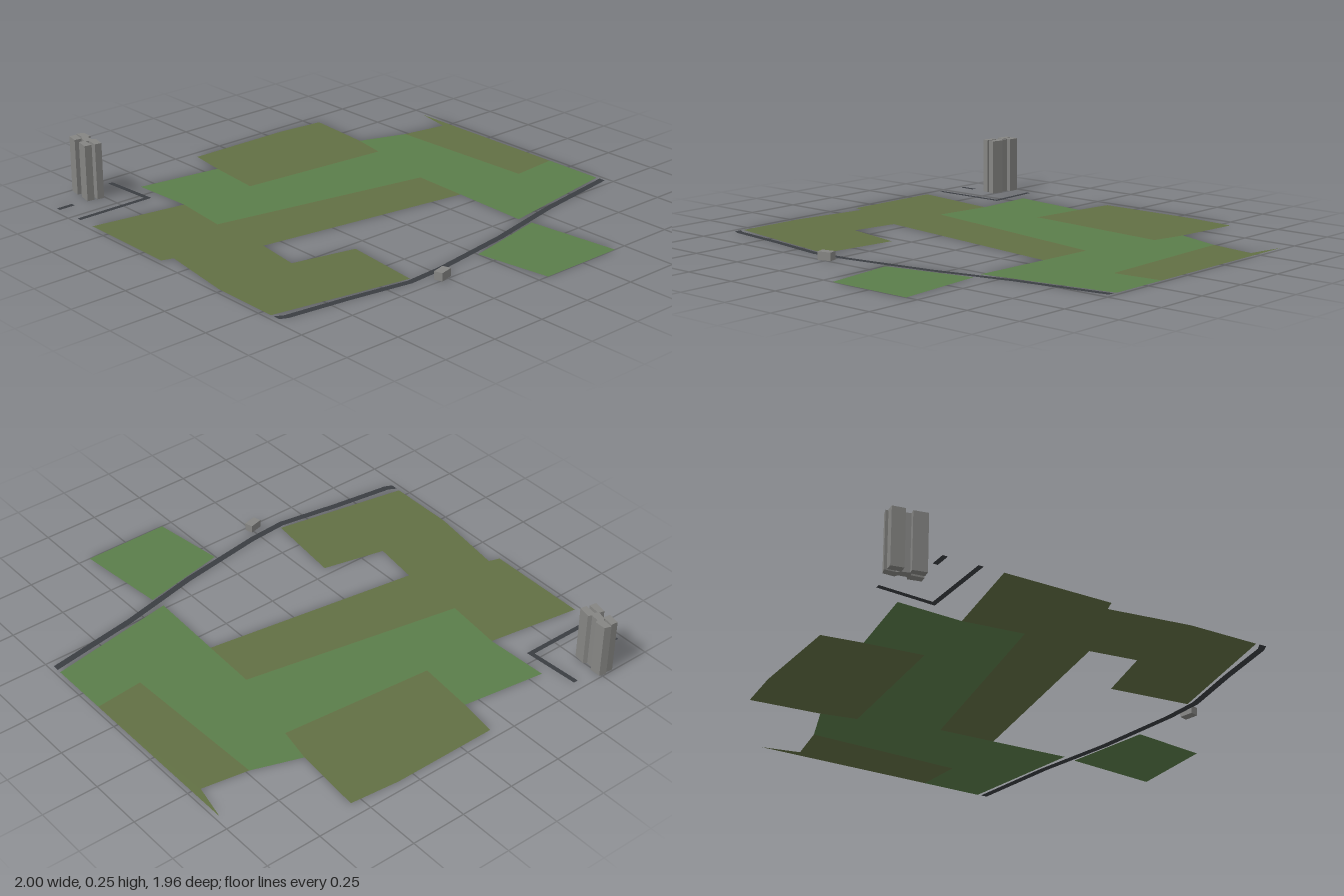
import * as THREE from 'three';

const flat = (color) => new THREE.MeshStandardMaterial({ color, side: THREE.DoubleSide });

// Ground plan outline, given as [x, z] corners
const plan = (points) => new THREE.Shape(points.map(([x, z]) => new THREE.Vector2(x, -z)));

export function createModel() {
  const model = new THREE.Group();
  const green = flat(0x5a7d4a), olive = flat(0x627044), asphalt = flat(0x3a3d42), concrete = flat(0x858583);

  function add(name, geometry, material, y = 0) {
    const mesh = new THREE.Mesh(geometry, material);
    mesh.name = name;
    mesh.position.y = y;
    model.add(mesh);
  }
  function field(name, material, points) {
    add(name, new THREE.ShapeGeometry(plan(points)).rotateX(-Math.PI / 2), material);
  }
  function building(name, height, points) {
    const geometry = new THREE.ExtrudeGeometry(plan(points), { depth: height, bevelEnabled: false });
    add(name, geometry.rotateX(-Math.PI / 2), concrete);
  }

  // Flat ribbon following a centre line, with mitred corners and ends cut along x or z
  function road(name, width, points, alongZ = true) {
    const left = [], right = [];
    points.forEach(([x, z], i) => {
      const a = points[Math.max(i - 1, 0)], b = points[Math.min(i + 1, points.length - 1)];
      const length = Math.hypot(b[0] - a[0], b[1] - a[1]);
      const run = Math.abs(alongZ ? b[1] - a[1] : b[0] - a[0]);
      const half = (width / 2) * length / run;
      const [dx, dz] = alongZ ? [half, 0] : [0, half];
      left.push([x - dx, z - dz]);
      right.unshift([x + dx, z + dz]);
    });
    const geometry = new THREE.ShapeGeometry(plan([...left, ...right])).rotateX(-Math.PI / 2);
    add(name, geometry, asphalt, 0.001);
  }

  // Fields, sharing borders with their neighbours
  field('backOliveField', olive, [
    [-0.68, -0.98], [0.14, -0.98], [0.16, -0.76], [-0.545, -0.735], [-0.51, -0.945]]);
  field('backGreenField', green, [
    [0.14, -0.98], [0.42, -0.98], [0.52, -0.385], [-0.1, -0.41], [-0.46, -0.49],
    [-0.62, -0.52], [-0.545, -0.735], [0.16, -0.76]]);
  field('sideOliveField', olive, [
    [-0.935, -0.545], [-0.62, -0.52], [-0.46, -0.49], [-0.52, 0.21], [-0.78, 0.185],
    [-0.957, 0.16], [-0.957, -0.32]]);
  field('middleGreenField', green, [
    [-0.46, -0.49], [-0.1, -0.41], [-0.28, 0.58], [-0.545, 0.55], [-0.833, 0.565],
    [-0.78, 0.185], [-0.52, 0.21]]);
  field('frontOliveField', olive, [
    [-0.1, -0.41], [0.16, -0.4], [0.02, 0.58], [0.23, 0.608], [0.293, 0.325], [0.653, 0.363],
    [0.545, 0.975], [0.23, 0.975], [-0.122, 0.925], [-0.138, 0.975], [-0.61, 0.975],
    [-0.545, 0.55], [-0.28, 0.58]]);
  field('separateGreenField', green, [[0.58, -0.4], [1, -0.443], [1, -0.05], [0.663, -0.003]]);

  // Roads
  road('mainRoad', 0.03, [
    [0.453, -0.98], [0.52, -0.56], [0.603, -0.19], [0.665, 0.21], [0.677, 0.385],
    [0.63, 0.67], [0.595, 0.94], [0.578, 0.975]]);
  road('sideRoad', 0.022, [[-0.708, 0.61], [-0.708, 0.975]]);
  road('crossRoad', 0.022, [[-0.957, 0.638], [-0.697, 0.62]], false);
  road('shortRoad', 0.022, [[-0.858, 0.9], [-0.858, 0.975]]);

  // Tower blocks and the small house
  building('steppedTower', 0.25, [
    [-0.99, 0.74], [-0.94, 0.74], [-0.935, 0.755], [-0.9, 0.76], [-0.89, 0.745], [-0.835, 0.757],
    [-0.84, 0.787], [-0.893, 0.78], [-0.9, 0.798], [-0.945, 0.785], [-0.95, 0.775], [-1, 0.77]]);
  building('leftTower', 0.25, [[-0.992, 0.778], [-0.937, 0.788], [-0.941, 0.82], [-0.995, 0.81]]);
  building('rightTower', 0.25, [[-0.904, 0.792], [-0.845, 0.8], [-0.85, 0.832], [-0.91, 0.82]]);
  building('smallHouse', 0.035, [[0.705, 0.238], [0.742, 0.228], [0.757, 0.288], [0.72, 0.298]]);

  return model;
}
